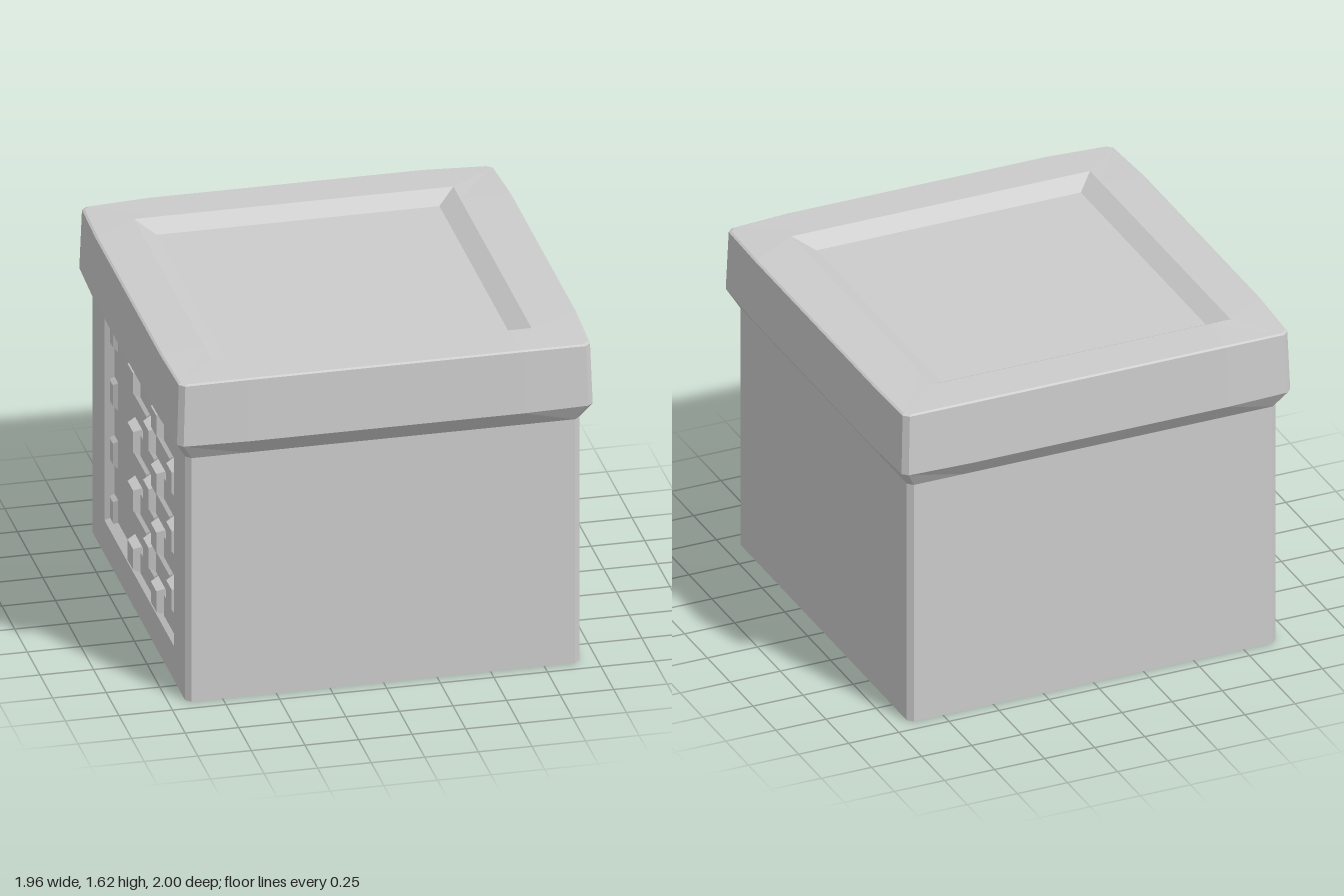
import * as THREE from 'three';

const material = new THREE.MeshStandardMaterial({ color: 0xcccccc, flatShading: true });

// Skin a stack of equal-length rings; optional end caps and one side left open.
function loft(rings, { top = false, bottom = false, skip = -1 } = {}) {
  const pos = [];
  const tri = (...pts) => pts.forEach((p) => pos.push(...p));
  const n = rings[0].length;
  for (let r = 0; r < rings.length - 1; r++) {
    const a = rings[r], b = rings[r + 1];
    for (let i = 0; i < n; i++) {
      if (i === skip) continue;
      const j = (i + 1) % n;
      tri(a[i], b[i], b[j]);
      tri(a[i], b[j], a[j]);
    }
  }
  const last = rings[rings.length - 1];
  for (let i = 1; i < n - 1; i++) {
    if (top) tri(last[0], last[i + 1], last[i]);
    if (bottom) tri(rings[0][0], rings[0][i], rings[0][i + 1]);
  }
  const g = new THREE.BufferGeometry();
  g.setAttribute('position', new THREE.Float32BufferAttribute(pos, 3));
  g.computeVertexNormals();
  return g;
}

function part(name, geometry) {
  const mesh = new THREE.Mesh(geometry, material);
  mesh.name = name;
  return mesh;
}

// Rectangle spanning x0..x1, z0..z1 at height y.
const rect = (x0, x1, z0, z1, y) => [[x1, y, z0], [x1, y, z1], [x0, y, z1], [x0, y, z0]];

// Rectangle with chamfered corners.
function chamfered(hx, hz, y, c) {
  return [
    [hx, y, -hz + c], [hx, y, hz - c], [hx - c, y, hz], [-hx + c, y, hz],
    [-hx, y, hz - c], [-hx, y, -hz + c], [-hx + c, y, -hz], [hx - c, y, -hz],
  ];
}

// Sixteen-point ring: the middle of each side bulges, the corners sit back and drop.
function bulged(hx, hz, y, { c = 0, bulge = 0, drop = 0, cx = 0, k = 0.64 } = {}) {
  const pts = [];
  for (let side = 0; side < 4; side++) {
    const alongZ = side % 2 === 0;
    const s = side < 2 ? 1 : -1;
    const out = alongZ ? hx : hz;
    const half = (alongZ ? hz : hx) - c - bulge;
    const dir = side === 0 || side === 3 ? 1 : -1;
    [-half, -k, k, half].forEach((t, i) => {
      const corner = i === 0 || i === 3;
      const d = s * (out - (corner ? bulge : 0));
      const h = y - (corner ? drop : 0);
      pts.push(alongZ ? [d + cx, h, dir * t] : [dir * t + cx, h, d]);
    });
  }
  return pts;
}

export function createModel() {
  const model = new THREE.Group();
  const HX = 0.92, HZ = 0.935, C = 0.025, bodyTop = 1.225;

  // Body, open on the right side where the panel fits
  model.add(part('body', loft(
    [chamfered(HX, HZ, 0, C), chamfered(HX, HZ, bodyTop, C)],
    { bottom: true, skip: 4 },
  )));

  // Flared lid with a sunken top
  const lidEdge = { c: 0.025, bulge: 0.012 };
  model.add(part('lid', loft([
    bulged(HX, HZ, bodyTop, { c: C }),
    bulged(0.982, 1.0, 1.312, lidEdge),
    bulged(0.972, 0.99, 1.615, { ...lidEdge, drop: 0.007 }),
    bulged(0.962, 0.98, 1.621, { ...lidEdge, drop: 0.007 }),
    bulged(0.745, 0.77, 1.625, { cx: -0.015 }),
    bulged(0.66, 0.685, 1.575, { cx: -0.015 }),
  ], { top: true })));

  // Side panel, made lying flat (x = height, y = outward) and turned to face -x
  const panel = new THREE.Group();
  panel.name = 'sidePanel';
  panel.rotation.z = Math.PI / 2;
  const y0 = 0.17, y1 = 1.2, z0 = -0.68, z1 = 0.69, floor = HX - 0.04;
  panel.add(part('panelFrame', loft([
    rect(0, bodyTop, -HZ + C, HZ - C, HX),
    rect(y0, y1, z0, z1, HX),
    rect(y0 + 0.03, y1 - 0.03, z0 + 0.03, z1 - 0.03, floor),
  ], { top: true })));

  // Raised bricks on a nine by seven grid
  const cw = (z1 - z0) / 9, ch = (y1 - y0) / 7;
  const brick = (name, row, col, width, height) => {
    const b = 0.018;
    const xa = y0 + row * ch + 0.004, xb = xa + ch - 0.008;
    const za = z0 + col * cw + 0.004, zb = za + width * cw - 0.008;
    panel.add(part(name, loft([
      rect(xa, xb, za, zb, floor),
      rect(xa + b, xb - b, za + b, zb - b, floor + height),
    ], { top: true })));
  };
  for (let row = 0; row < 7; row++) {
    const even = row % 2 === 0;
    for (const col of even ? [3, 6] : [5, 8]) brick('squareBrick', row, col, 1, 0.045);
    for (const col of even ? [4, 7] : [3, 6]) brick('longBrick', row, col, 2, 0.02);
    if (even) brick('edgeBrick', row, 0, 0.7, 0.02);
  }
  model.add(panel);
  return model;
}
